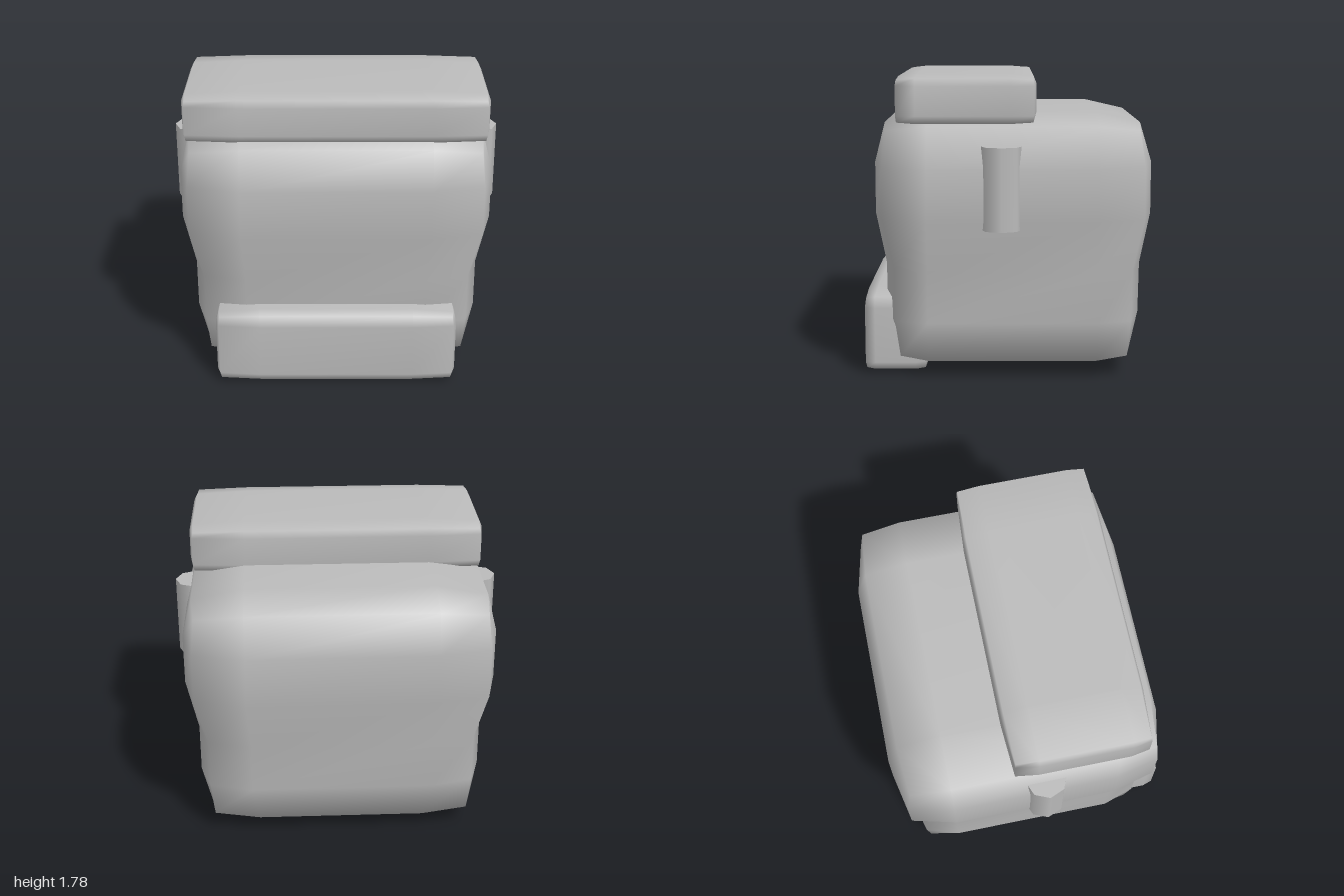
import * as THREE from 'three';
import { mergeVertices } from 'three/addons/utils/BufferGeometryUtils.js';

const fabric = new THREE.MeshStandardMaterial({ color: 0xbbbbbb });
fabric.name = 'greyFabric';

// Soft box: a gridded box whose rows follow the given levels, with eased edges and corners.
// rows: [y, halfWidth, frontZ, backZ, innerHalfWidth]; caps: [bottomY, topY]
// inner: [frontZ, backZ] of the flat areas; inset / endInset: how far the upright corners pull in
function softBox(name, { rows, caps, inner, inset, endInset }) {
  const n = rows.length - 1;
  let geo = new THREE.BoxGeometry(3, n, 3, 3, n, 3);
  const p = geo.attributes.position;
  for (let i = 0; i < p.count; i++) {
    const ix = Math.round(p.getX(i) + 1.5);
    const iy = Math.round(p.getY(i) + n / 2);
    const iz = Math.round(p.getZ(i) + 1.5);
    const [rowY, hx, zf, zb, qx] = rows[iy];
    const end = iy === 0 || iy === n;
    const sideX = ix === 0 || ix === 3;
    const sideZ = iz === 0 || iz === 3;
    const c = sideX && sideZ ? (end ? endInset : inset) : 0;
    const x = (ix > 1 ? 1 : -1) * (sideX ? hx - c : qx);
    let z = iz > 1 ? inner[0] : inner[1];
    if (iz === 3) z = zf - c;
    if (iz === 0) z = zb + c;
    let y = rowY;
    if (end && !sideX && !sideZ) y = caps[iy ? 1 : 0];
    if (end && sideX && sideZ) y += (iy ? -1 : 1) * endInset;
    p.setXYZ(i, x, y, z);
  }
  // Weld the faces so the shading runs smoothly round the edges
  geo.deleteAttribute('normal');
  geo.deleteAttribute('uv');
  geo = mergeVertices(geo, 1e-4);
  geo.computeVertexNormals();
  const mesh = new THREE.Mesh(geo, fabric);
  mesh.name = name;
  return mesh;
}

export function createModel() {
  const model = new THREE.Group();
  model.name = 'backpack';

  // Main bag, wider above the waist
  model.add(softBox('bagBody', {
    rows: [
      [0.10, 0.80, 0.65, -0.735, 0.50],
      [0.34, 0.86, 0.72, -0.795, 0.54],
      [0.64, 0.86, 0.72, -0.80, 0.54],
      [0.95, 0.93, 0.78, -0.86, 0.56],
      [1.255, 0.93, 0.78, -0.86, 0.56],
      [1.49, 0.87, 0.72, -0.79, 0.56],
    ],
    caps: [0.04, 1.55],
    inner: [0.46, -0.53],
    inset: 0.065,
    endInset: 0.025,
  }));

  // Bedroll lying across the top
  model.add(softBox('topRoll', {
    rows: [
      [1.505, 0.875, 0.635, -0.16, 0.56],
      [1.55, 0.895, 0.652, -0.177, 0.56],
      [1.72, 0.895, 0.652, -0.177, 0.56],
      [1.762, 0.875, 0.635, -0.16, 0.56],
    ],
    caps: [1.49, 1.777],
    inner: [0.52, -0.02],
    inset: 0.02,
    endInset: 0.008,
  }));

  // Pouch at the foot of the front
  model.add(softBox('frontPouch', {
    rows: [
      [0.025, 0.705, 0.84, 0.475, 0.46],
      [0.07, 0.725, 0.86, 0.46, 0.46],
      [0.40, 0.725, 0.86, 0.46, 0.46],
      [0.465, 0.705, 0.84, 0.475, 0.46],
    ],
    caps: [0, 0.483],
    inner: [0.78, 0.54],
    inset: 0.02,
    endInset: 0.008,
  }));

  // Upright rods half sunk into each side
  for (const [side, name] of [[1, 'leftSideRod'], [-1, 'rightSideRod']]) {
    const rod = new THREE.Mesh(new THREE.CylinderGeometry(0.125, 0.125, 0.48, 8), fabric);
    rod.name = name;
    rod.position.set(side * 0.875, 1.14, 0.03);
    model.add(rod);
  }

  return model;
}
